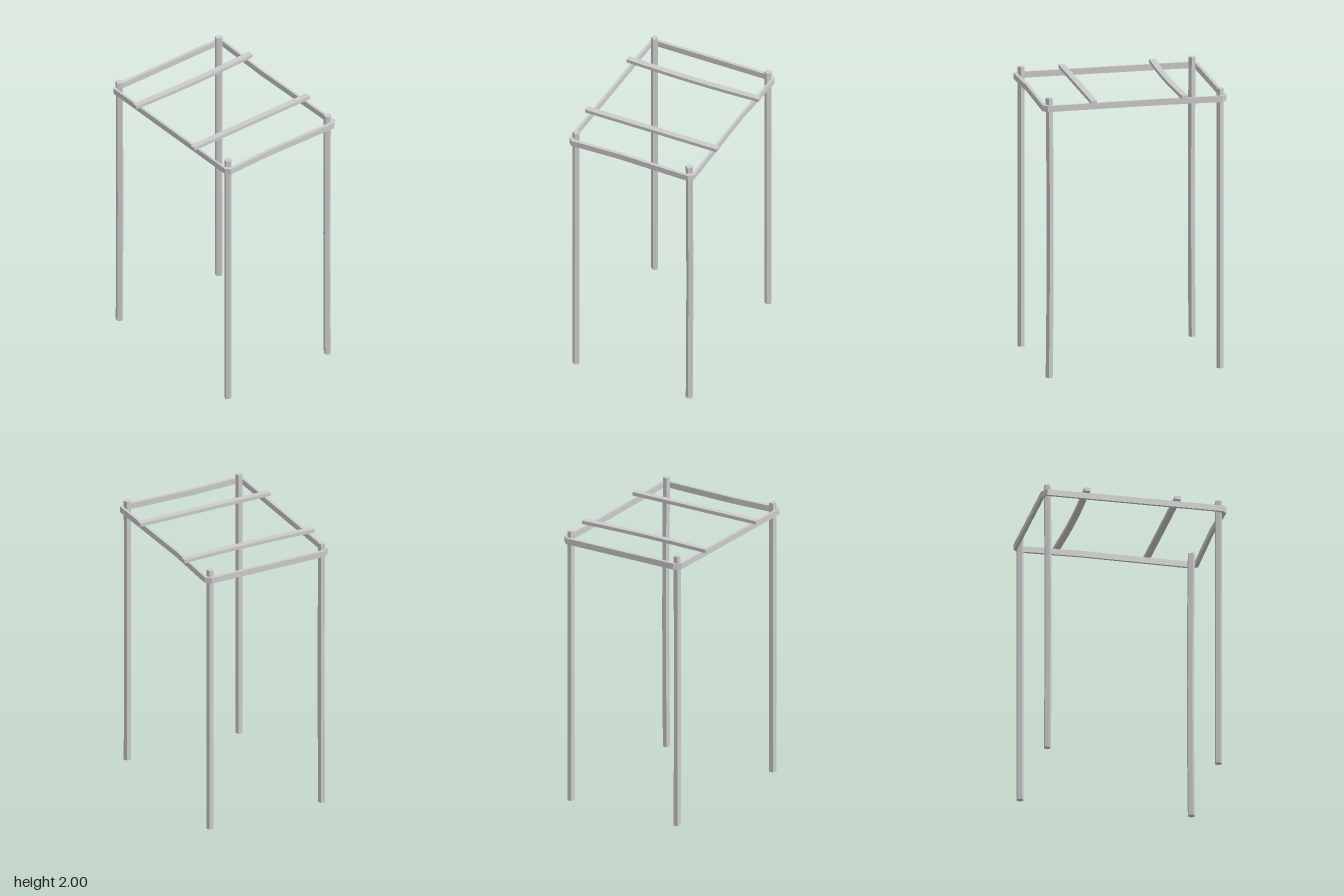
import * as THREE from 'three';

const material = new THREE.MeshStandardMaterial({ color: 0xcccccc, flatShading: true });

function addPart(group, name, geometry) {
  const mesh = new THREE.Mesh(geometry, material);
  mesh.name = name;
  group.add(mesh);
  return mesh;
}

// Shifts every vertex sideways by an offset depending on its place along an axis
function bend(geometry, axis, offset) {
  const p = geometry.attributes.position;
  for (let i = 0; i < p.count; i++) {
    const [dx, dz] = offset(axis === 'y' ? p.getY(i) : p.getZ(i));
    p.setX(i, p.getX(i) + dx);
    p.setZ(i, p.getZ(i) + dz);
  }
  geometry.computeVertexNormals();
  return geometry;
}

export function createModel() {
  const group = new THREE.Group();

  // Five-sided posts, two of them slightly crooked
  const posts = [
    ['frontRightPost', -0.611, 0.436, 0.005, -0.001],
    ['frontLeftPost', 0.602, 0.436, 0, 0],
    ['backRightPost', -0.611, -0.441, 0, 0],
    ['backLeftPost', 0.602, -0.441, -0.007, -0.001],
  ];
  for (const [name, x, z, bx, bz] of posts) {
    const geo = new THREE.CylinderGeometry(0.026, 0.026, 2, 5, 6, false, Math.PI / 2);
    bend(geo, 'y', (y) => {
      const s = Math.cos((y * Math.PI) / 2);
      return [bx * s, bz * s];
    });
    addPart(group, name, geo).position.set(x, 1, z);
  }

  // Top frame with cut corners; back and left rails bow inward. Points are [x, z]
  const outer = [
    [-0.654, -0.45], [-0.62, -0.487], [-0.16, -0.473], [0.622, -0.487], [0.654, -0.455],
    [0.642, 0.09], [0.654, 0.45], [0.622, 0.479], [-0.62, 0.479], [-0.654, 0.43],
  ];
  // The opening runs the other way round, so its walls face inward
  const inner = [
    [-0.631, 0.425], [-0.605, 0.461], [0.602, 0.461], [0.63, 0.43], [0.618, 0.09],
    [0.63, -0.44], [0.607, -0.468], [-0.16, -0.457], [-0.605, -0.468], [-0.631, -0.44],
  ];
  const toPoints = (list) => list.map(([x, z]) => new THREE.Vector2(x, -z));
  const ring = new THREE.Shape(toPoints(outer));
  ring.holes.push(new THREE.Path(toPoints(inner)));
  const frame = new THREE.ExtrudeGeometry(ring, { depth: 0.043, bevelEnabled: false });
  frame.rotateX(-Math.PI / 2);
  addPart(group, 'topFrame', frame).position.y = 1.911;

  // Cross slats laid over the frame, one of them bowed
  const slats = [['rightSlat', -0.344, 0.013], ['leftSlat', 0.299, 0]];
  for (const [name, x, bow] of slats) {
    const geo = new THREE.BoxGeometry(0.043, 0.025, 1.02, 1, 1, 8);
    bend(geo, 'z', (z) => [bow * Math.cos((z / 1.02) * Math.PI), 0]);
    addPart(group, name, geo).position.set(x, 1.967, 0);
  }

  return group;
}
